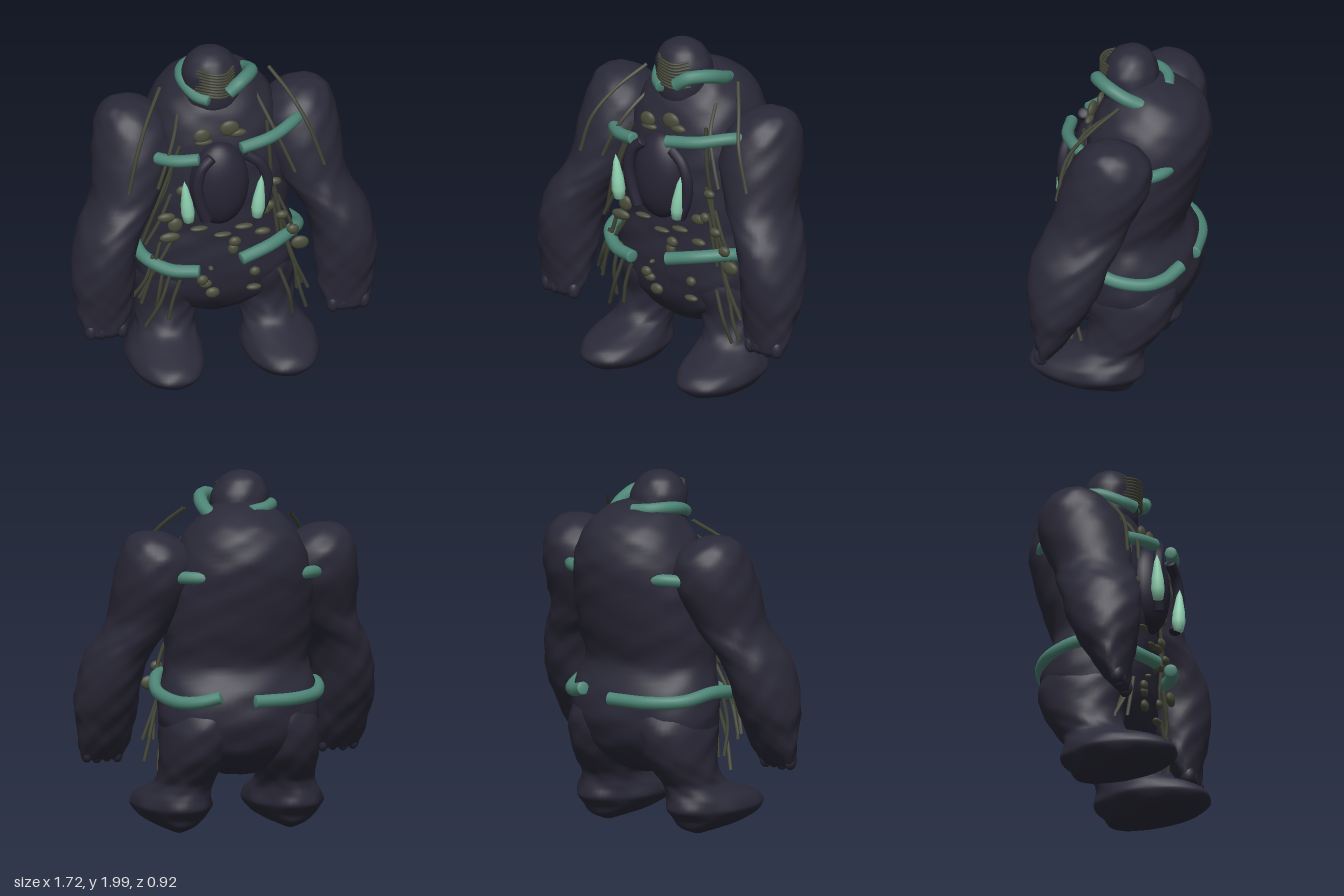
import * as THREE from 'three';

const mat = (name, color, side = THREE.FrontSide) => {
  const m = new THREE.MeshStandardMaterial({ color, side });
  m.name = name;
  return m;
};
const V = (a) => new THREE.Vector3(...a);

// Cross-sections, bottom to top: [y, centre x, centre z, half width, half depth]
const TORSO = [
  [0.335, 0, -0.06, 0.1, 0.09], [0.4, 0, -0.07, 0.24, 0.18], [0.5, 0, -0.08, 0.4, 0.255],
  [0.65, 0, -0.085, 0.45, 0.3], [0.8, 0, -0.075, 0.44, 0.295], [0.95, 0, -0.045, 0.4, 0.265],
  [1.13, 0, -0.07, 0.41, 0.3], [1.35, 0, -0.105, 0.405, 0.325], [1.52, 0, -0.13, 0.37, 0.33],
  [1.65, 0, -0.14, 0.32, 0.295], [1.73, 0, -0.14, 0.26, 0.245], [1.79, 0, -0.12, 0.2, 0.17],
  [1.825, 0, -0.1, 0.13, 0.11], [1.845, 0, -0.09, 0.03, 0.03],
];
const HEAD = [
  [1.6, -0.03, 0, 0.12, 0.11], [1.7, -0.03, -0.01, 0.165, 0.155], [1.8, -0.03, -0.005, 0.165, 0.152],
  [1.88, -0.035, 0, 0.157, 0.145], [1.95, -0.04, 0, 0.115, 0.11], [1.985, -0.04, 0, 0.065, 0.06], [1.998, -0.04, 0, 0.01, 0.01],
];
const ARM = [
  [0.395, 0.68, 0.25, 0.11, 0.035], [0.5, 0.677, 0.215, 0.148, 0.085], [0.6, 0.677, 0.195, 0.16, 0.125],
  [0.7, 0.68, 0.175, 0.178, 0.165], [0.85, 0.67, 0.15, 0.172, 0.207], [1.0, 0.63, 0.12, 0.175, 0.22],
  [1.1, 0.57, 0.08, 0.175, 0.225], [1.2, 0.515, 0.045, 0.19, 0.22], [1.4, 0.47, -0.02, 0.225, 0.245],
  [1.55, 0.465, -0.055, 0.205, 0.22], [1.635, 0.485, -0.06, 0.155, 0.16], [1.68, 0.5, -0.06, 0.09, 0.09], [1.695, 0.5, -0.06, 0.01, 0.01],
];
const LEG = [
  [0.008, 0.32, 0.0, 0.02, 0.03], [0.045, 0.32, 0.08, 0.105, 0.2], [0.09, 0.32, 0.135, 0.175, 0.28],
  [0.145, 0.32, 0.135, 0.212, 0.33], [0.2, 0.317, 0.115, 0.2, 0.305], [0.245, 0.305, 0.06, 0.175, 0.245],
  [0.29, 0.29, 0.0, 0.16, 0.195], [0.35, 0.278, -0.045, 0.167, 0.195], [0.45, 0.255, -0.085, 0.192, 0.222],
  [0.6, 0.23, -0.085, 0.215, 0.265], [0.72, 0.21, -0.08, 0.19, 0.24], [0.83, 0.19, -0.08, 0.1, 0.14],
];

// Smooth, slightly lumpy body loft; power above 2 squares the front half
function loft(rings, s = 1, seg = 48, steps = 52, power = 2, lump = 0.0035) {
  const centre = new THREE.CatmullRomCurve3(rings.map(r => V([s * r[1], r[0], r[2]])), false, 'catmullrom', 0.4);
  const radii = new THREE.CatmullRomCurve3(rings.map(r => V([r[3], r[4], 0])), false, 'catmullrom', 0.4);
  const pos = [], idx = [];
  const round = (v, p) => Math.sign(v) * Math.abs(v) ** (2 / p);
  for (let j = 0; j <= steps; j++) {
    const c = centre.getPoint(j / steps), r = radii.getPoint(j / steps);
    for (let i = 0; i < seg; i++) {
      const a = (i / seg) * Math.PI * 2, ca = Math.cos(a), sa = Math.sin(a), p = sa > 0 ? power : 2;
      const n = lump * Math.min(1, r.x * 8) * (Math.sin(c.y * 31) * Math.sin(5 * a + c.y * 4) + Math.sin(c.y * 47 + 1) * Math.sin(8 * a - c.y * 6));
      pos.push(c.x + round(ca, p) * (r.x + n), c.y, c.z + round(sa, p) * (r.y + n));
    }
  }
  for (let j = 0; j < steps; j++) for (let i = 0; i < seg; i++) {
    const k = (i + 1) % seg, a = j * seg + i, b = j * seg + k;
    idx.push(a, a + seg, b, b, a + seg, b + seg);
  }
  const low = pos.length / 3, top = low + 1, last = steps * seg;
  pos.push(...centre.getPoint(0).toArray(), ...centre.getPoint(1).toArray());
  for (let i = 0; i < seg; i++) {
    const k = (i + 1) % seg;
    idx.push(low, i, k, top, last + k, last + i);
  }
  const g = new THREE.BufferGeometry();
  g.setAttribute('position', new THREE.Float32BufferAttribute(pos, 3));
  g.setIndex(idx);
  g.computeVertexNormals();
  return g;
}

// Depth of the torso's front surface at a given x and y
function frontZ(x, y) {
  let i = 0;
  while (i < TORSO.length - 2 && TORSO[i + 1][0] < y) i++;
  const a = TORSO[i], b = TORSO[i + 1], t = (y - a[0]) / (b[0] - a[0]);
  const [cz, rx, rz] = [2, 3, 4].map(k => a[k] + (b[k] - a[k]) * t);
  return cz + rz * Math.max(0, 1 - Math.abs(x / rx) ** 2.4) ** (1 / 2.4);
}

export function createModel() {
  const root = new THREE.Group();
  const fur = mat('dark hide', 0x2a2938), shell = mat('chest shell', 0x272535);
  const teal = mat('teal band', 0x4c8475, THREE.DoubleSide), pale = mat('pale mint', 0x8fd0b0);
  const reed = mat('dark reed', 0x424537, THREE.DoubleSide), moss = mat('mossy bead', 0x4a4c3b);
  const add = (name, geo, m, p = [0, 0, 0], sc = [1, 1, 1]) => {
    const mesh = new THREE.Mesh(geo, m);
    mesh.name = name;
    mesh.position.set(...p);
    mesh.scale.set(...sc);
    root.add(mesh);
    return mesh;
  };
  const ball = new THREE.SphereGeometry(1, 20, 14);
  const tube = (name, pts, r, m, n = 40, sides = 12) => {
    const curve = new THREE.CatmullRomCurve3(pts.map(V));
    add(name, new THREE.TubeGeometry(curve, n, r, sides), m);
    if (sides < 8) return;
    // Flattened end caps
    for (const t of [0, 1]) {
      const cap = add(name + 'End', ball, m, curve.getPoint(t).toArray(), [r, r, r * 0.25]);
      cap.lookAt(curve.getPoint(t).add(curve.getTangent(t)));
    }
  };

  // Body
  add('torso', loft(TORSO, 1, 64, 64, 2.4), fur);
  add('head', loft(HEAD, 1, 36, 36, 2, 0.002), fur);
  for (const s of [1, -1]) {
    const side = s > 0 ? 'left' : 'right';
    add(side + 'Arm', loft(ARM, s), fur);
    add(side + 'Leg', loft(LEG, s), fur);
    for (let i = 0; i < 4; i++)
      add(side + 'Finger', ball, fur, [s * (0.592 + i * 0.058), 0.425 + (i % 2) * 0.006, 0.25], [0.034, 0.055, 0.04]);
  }

  // Bands around head, chest and hips
  tube('leftHeadBand', [[0.03, 1.8, 0.165], [0.1, 1.85, 0.15], [0.175, 1.85, 0.06], [0.19, 1.81, -0.04], [0.17, 1.77, -0.13]], 0.038, teal);
  tube('rightHeadBand', [[-0.08, 1.755, 0.15], [-0.14, 1.765, 0.1], [-0.19, 1.805, -0.02], [-0.175, 1.815, -0.11], [-0.12, 1.81, -0.18], [-0.03, 1.8, -0.215]], 0.034, teal);
  tube('leftChestBand', [[0.07, 1.525, 0.31], [0.25, 1.55, 0.27], [0.42, 1.57, 0.14], [0.46, 1.5, 0], [0.42, 1.46, -0.2], [0.34, 1.46, -0.29], [0.24, 1.46, -0.33]], 0.034, teal);
  tube('rightChestBand', [[-0.17, 1.47, 0.29], [-0.3, 1.45, 0.24], [-0.42, 1.44, 0.12], [-0.46, 1.44, 0], [-0.42, 1.45, -0.2], [-0.34, 1.46, -0.29], [-0.24, 1.46, -0.33]], 0.034, teal);
  tube('leftBelt', [[0.07, 0.815, 0.31], [0.25, 0.855, 0.26], [0.4, 0.86, 0.13], [0.455, 0.8, -0.04], [0.4, 0.765, -0.22], [0.31, 0.77, -0.31], [0.2, 0.8, -0.365]], 0.036, teal);
  tube('rightBelt', [[-0.17, 0.76, 0.3], [-0.32, 0.755, 0.24], [-0.44, 0.79, 0.12], [-0.455, 0.81, -0.04], [-0.4, 0.78, -0.22], [-0.25, 0.77, -0.33], [0, 0.77, -0.375]], 0.036, teal);

  // Chest shell with curved ribs and pale blades
  add('chestShell', new THREE.SphereGeometry(1, 32, 24), shell, [-0.035, 1.26, 0.21], [0.165, 0.255, 0.12]);
  tube('rightRib', [[-0.1, 1.475, 0.3], [-0.155, 1.42, 0.31], [-0.18, 1.32, 0.315], [-0.165, 1.2, 0.31], [-0.13, 1.09, 0.305]], 0.031, shell);
  tube('leftRib', [[0.1, 1.475, 0.3], [0.17, 1.42, 0.31], [0.21, 1.32, 0.315], [0.2, 1.2, 0.31], [0.16, 1.09, 0.305]], 0.031, shell);
  const blade = new THREE.LatheGeometry([[0, 0], [0.028, 0.005], [0.038, 0.06], [0.034, 0.12], [0.017, 0.22], [0, 0.265]].map(p => new THREE.Vector2(...p)), 14);
  add('rightBlade', blade, pale, [-0.232, 1.105, 0.33]).rotation.z = 0.1;
  add('leftBlade', blade, pale, [0.15, 1.085, 0.33]).rotation.z = -0.1;

  // Reeds across the face
  for (let i = 0; i < 9; i++) {
    const y = 1.775 + i * 0.018, w = 0.115 - 0.002 * i;
    tube('faceReed', [[-0.03 - w, y, 0.1], [-0.07, y + 0.004, 0.158], [0.01, y - 0.004, 0.162], [-0.03 + w, y + 0.003, 0.1]], 0.008, reed, 14, 6);
  }
  // Long reeds over the shoulders
  const shoulder = [
    [[0.3, 1.81, -0.04], [0.39, 1.7, 0.08], [0.47, 1.55, 0.195], [0.55, 1.31, 0.235]],
    [[-0.31, 1.755, -0.04], [-0.42, 1.63, 0.11], [-0.5, 1.48, 0.215], [-0.55, 1.28, 0.25]],
    [[-0.2, 1.71, -0.02], [-0.28, 1.56, 0.17], [-0.34, 1.43, 0.24], [-0.39, 1.3, 0.265]],
    [[0.21, 1.7, 0.04], [0.27, 1.57, 0.18], [0.34, 1.4, 0.24], [0.38, 1.3, 0.26]],
  ];
  for (const pts of shoulder) tube('shoulderReed', pts, 0.011, reed, 20, 6);
  // Hanging reeds on the flanks: [x, y, x, y]
  const hanging = [
    [0.24, 1.6, 0.27, 1.15], [0.25, 1.25, 0.33, 0.85], [0.28, 1.18, 0.37, 0.83], [0.3, 1.12, 0.42, 0.78], [0.27, 1.1, 0.31, 0.78],
    [0.33, 0.9, 0.47, 0.5], [0.31, 0.64, 0.39, 0.33], [0.34, 0.85, 0.44, 0.52], [0.4, 0.62, 0.46, 0.38], [0.36, 0.78, 0.41, 0.5],
    [-0.25, 1.5, -0.45, 0.9], [-0.28, 1.4, -0.4, 1.05], [-0.3, 1.2, -0.44, 0.9], [-0.28, 0.93, -0.47, 0.55], [-0.3, 0.7, -0.43, 0.35],
    [-0.36, 0.9, -0.46, 0.52], [-0.25, 0.65, -0.31, 0.4], [-0.4, 0.82, -0.5, 0.56], [-0.34, 0.75, -0.38, 0.42],
  ];
  hanging.forEach(([x0, y0, x1, y1], i) => {
    const xm = (x0 + x1) / 2 + 0.012 * Math.sin(i * 2.3), ym = (y0 + y1) / 2;
    const z0 = Math.max(0.18, frontZ(x0, y0) + 0.012), zm = Math.max(0.19, frontZ(xm, ym) + 0.015);
    tube('hangingReed', [[x0, y0, z0], [xm, ym, zm], [x1, y1, 0.16 + 0.02 * Math.sin(i * 1.7)]], 0.011, reed, 14, 6);
  });

  // Flat mossy beads on the front: [x, y, half width, half height]
  const beads = [
    [-0.13, 1.565, 0.048, 0.045], [0.025, 1.595, 0.055, 0.048], [-0.12, 1.525, 0.05, 0.02], [0.07, 1.56, 0.05, 0.025],
    [-0.24, 1.23, 0.035, 0.03], [0.28, 1.22, 0.035, 0.025], [-0.33, 1.07, 0.05, 0.028], [-0.28, 1.015, 0.042, 0.045],
    [-0.31, 0.94, 0.058, 0.03], [-0.15, 0.985, 0.05, 0.014], [0.1, 0.97, 0.052, 0.017], [-0.02, 0.935, 0.05, 0.014],
    [0.05, 0.88, 0.035, 0.03], [0.21, 1.05, 0.045, 0.03], [0.25, 1.07, 0.03, 0.03], [0.04, 0.835, 0.03, 0.035],
    [0.21, 0.91, 0.045, 0.022], [-0.34, 0.745, 0.05, 0.035], [0.42, 0.81, 0.05, 0.04], [-0.13, 0.65, 0.032, 0.03],
    [-0.11, 0.62, 0.035, 0.025], [-0.07, 0.555, 0.04, 0.032], [0.165, 0.665, 0.03, 0.028], [0.16, 0.56, 0.042, 0.018],
    [-0.085, 0.725, 0.014, 0.012], [0.38, 0.9, 0.035, 0.03], [0.32, 1.0, 0.035, 0.025],
  ];
  for (const [x, y, w, h] of beads)
    add('bead', ball, moss, [x, y, Math.max(0.205, frontZ(x, y) + 0.01)], [w, h, 0.022]);

  return root;
}
